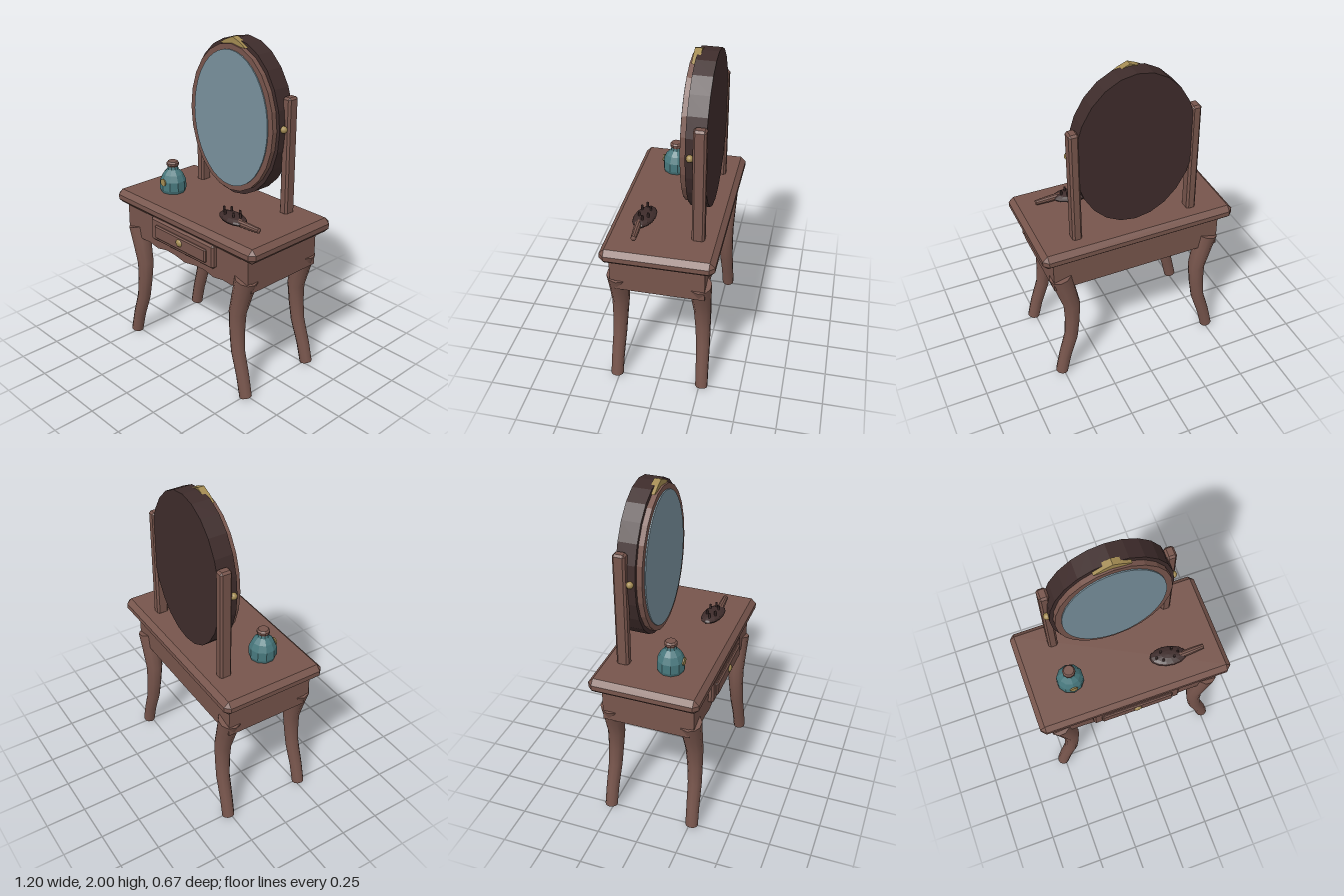
import * as THREE from 'three';
import { toCreasedNormals } from 'three/addons/utils/BufferGeometryUtils.js';
import { ConvexGeometry } from 'three/addons/geometries/ConvexGeometry.js';

const paint = (name, color) => Object.assign(new THREE.MeshStandardMaterial({ color }), { name });

// Faceted shading without touching the material
function flat(geo) {
  const g = geo.index ? geo.toNonIndexed() : geo;
  g.computeVertexNormals();
  return g;
}

// Box given by its limits, with every edge cut at 45 degrees
function chamferBox([x0, x1], [y0, y1], [z0, z1], c) {
  const h = [(x1 - x0) / 2, (y1 - y0) / 2, (z1 - z0) / 2];
  const pts = [];
  for (const sx of [-1, 1]) for (const sy of [-1, 1]) for (const sz of [-1, 1])
    for (let k = 0; k < 3; k++) {
      const p = h.map((v, i) => (i === k ? v : v - c));
      pts.push(new THREE.Vector3(sx * p[0], sy * p[1], sz * p[2]));
    }
  return new ConvexGeometry(pts).translate((x0 + x1) / 2, (y0 + y1) / 2, (z0 + z1) / 2);
}

// Tapered round sweep down a path of [x, y, z, radius]
function sweep(path, sides) {
  const pos = [], index = [];
  const P = path.map(p => new THREE.Vector3(p[0], p[1], p[2]));
  const last = path.length - 1;
  P.forEach((p, i) => {
    const t = P[Math.min(i + 1, last)].clone().sub(P[Math.max(i - 1, 0)]).setZ(0).normalize();
    for (let j = 0; j < sides; j++) {
      const a = (j / sides) * Math.PI * 2, r = path[i][3];
      pos.push(p.x - t.y * r * Math.cos(a), p.y + t.x * r * Math.cos(a), p.z + r * Math.sin(a));
    }
  });
  const top = pos.length / 3;
  pos.push(...P[0].toArray(), ...P[last].toArray());
  for (let j = 0; j < sides; j++) {
    const k = (j + 1) % sides;
    for (let i = 0; i < last; i++) {
      const a = i * sides + j, b = i * sides + k;
      index.push(a, b, a + sides, b, b + sides, a + sides);
    }
    index.push(top, k, j, top + 1, last * sides + j, last * sides + k);
  }
  const g = new THREE.BufferGeometry();
  g.setAttribute('position', new THREE.Float32BufferAttribute(pos, 3));
  g.setIndex(index);
  return toCreasedNormals(g, 0.7);
}

// Upright elliptical disc between two depths
function ovalDisc(rx, ry, z0, z1, sides) {
  return flat(new THREE.CylinderGeometry(1, 1, z1 - z0, sides).rotateX(Math.PI / 2)
    .scale(rx, ry, 1).translate(0, 1.517, (z0 + z1) / 2));
}

function extrude(points, z0, z1) {
  const shape = new THREE.Shape(points.map(p => new THREE.Vector2(p[0], p[1])));
  return new THREE.ExtrudeGeometry(shape, { depth: z1 - z0, bevelEnabled: false }).translate(0, 0, z0);
}

export function createModel() {
  const wood = paint('brown wood', 0x77554c);
  const dark = paint('dark wood', 0x3e2c2b);
  const glass = paint('mirror glass', 0x78909c);
  const brass = paint('brass', 0xa38b52);
  const teal = paint('teal glass', 0x47777c);

  const model = new THREE.Group();
  model.name = 'dressingTable';
  const add = (name, geo, mat, parent = model) => {
    const m = new THREE.Mesh(geo, mat);
    m.name = name;
    parent.add(m);
    return m;
  };

  // Table top and apron
  add('tableTop', chamferBox([-0.6, 0.6], [0.92, 1.01], [-0.337, 0.32], 0.03), wood);
  add('apron', new THREE.BoxGeometry(1.06, 0.215, 0.525).translate(0, 0.8125, -0.0125), wood);
  const edge = [[0.53, 0.77], [0.46, 0.745], [0.4, 0.718], [0.33, 0.722], [0.25, 0.708], [0.17, 0.725], [0.09, 0.722]];
  const scallop = [[-0.53, 0.92], ...edge.map(([x, y]) => [-x, y]), [0, 0.706], ...edge.slice().reverse(), [0.53, 0.92]];
  add('scallopedApronFront', extrude(scallop, 0.25, 0.278), wood);

  // Curved legs
  for (const s of [-1, 1]) for (const f of [-1, 1]) {
    const path = [[0.48, 0.778, 0.24, 0.068], [0.452, 0.67, 0.243, 0.06], [0.42, 0.54, 0.247, 0.052],
      [0.423, 0.42, 0.252, 0.046], [0.437, 0.29, 0.257, 0.042], [0.483, 0.14, 0.262, 0.039], [0.512, 0.012, 0.265, 0.038]];
    add(f > 0 ? 'frontLeg' : 'backLeg', sweep(path.map(([x, y, z, r]) => [s * x, y, f * z, r]), 10), wood);
  }

  // Drawer
  const drawer = new THREE.Group();
  drawer.name = 'drawer';
  model.add(drawer);
  add('drawerFront', chamferBox([-0.275, 0.275], [0.775, 0.925], [0.26, 0.308], 0.012), wood, drawer);
  add('drawerPanel', chamferBox([-0.225, 0.225], [0.803, 0.888], [0.29, 0.322], 0.008), wood, drawer);
  add('drawerKnob', new THREE.SphereGeometry(0.027, 10, 8).scale(1, 0.9, 0.7).translate(0, 0.85, 0.317), brass, drawer);

  // Mirror posts and pivots
  for (const s of [-1, 1]) {
    const xs = s > 0 ? [0.332, 0.39] : [-0.39, -0.332];
    add('mirrorPost', chamferBox(xs, [1.0, 1.71], [-0.242, -0.168], 0.012), wood);
    add('mirrorPivot', new THREE.SphereGeometry(0.021, 10, 8).translate(s * 0.368, 1.53, -0.15), brass);
  }

  // Oval mirror
  const mirror = new THREE.Group();
  mirror.name = 'mirror';
  model.add(mirror);
  add('mirrorBacking', ovalDisc(0.363, 0.472, -0.235, -0.122, 24), dark, mirror);
  add('mirrorFrame', ovalDisc(0.342, 0.445, -0.125, -0.09, 24), wood, mirror);
  add('mirrorGlass', ovalDisc(0.305, 0.412, -0.091, -0.083, 40), glass, mirror);
  add('mirrorCrest', extrude([[-0.105, 1.95], [0.105, 1.95], [0.055, 1.978], [0, 2], [-0.055, 1.978]], -0.143, -0.102), brass, mirror);

  // Perfume bottle
  const bottle = new THREE.Group();
  bottle.name = 'perfumeBottle';
  bottle.position.set(-0.338, 1.01, 0.073);
  model.add(bottle);
  const lathe = pts => flat(new THREE.LatheGeometry(pts.map(p => new THREE.Vector2(p[0], p[1])), 10));
  add('bottleBody', lathe([[0, 0], [0.074, 0], [0.082, 0.02], [0.08, 0.075], [0.062, 0.115], [0.035, 0.145], [0.03, 0.165], [0, 0.165]]), teal, bottle);
  add('bottleStopper', lathe([[0, 0.15], [0.031, 0.15], [0.031, 0.165], [0.038, 0.17], [0.038, 0.185], [0.03, 0.195], [0, 0.195]]), wood, bottle);
  add('bottleLabel', new THREE.CylinderGeometry(0.024, 0.024, 0.008, 8).rotateX(Math.PI / 2).translate(0, 0.073, 0.079), brass, bottle);

  // Hairbrush
  const brush = new THREE.Group();
  brush.name = 'hairbrush';
  brush.position.set(0.258, 1.04, 0.131);
  model.add(brush);
  add('brushHead', flat(new THREE.SphereGeometry(1, 14, 8).scale(0.112, 0.027, 0.062).rotateY(-0.18)), dark, brush);
  for (const [x, z] of [[-0.04, -0.027], [0.028, -0.027], [-0.075, 0], [-0.04, 0.025], [0.028, 0.025], [0.06, 0]])
    add('bristle', new THREE.CylinderGeometry(0.007, 0.007, 0.04, 6).translate(x, 0.03, z), dark, brush);
  const handle = lathe([[0, -0.085], [0.022, -0.08], [0.02, 0], [0.016, 0.075], [0, 0.08]]);
  add('brushHandle', handle.rotateZ(-Math.PI / 2).rotateY(0.05).translate(0.143, 0, 0.016), wood, brush);

  return model;
}
